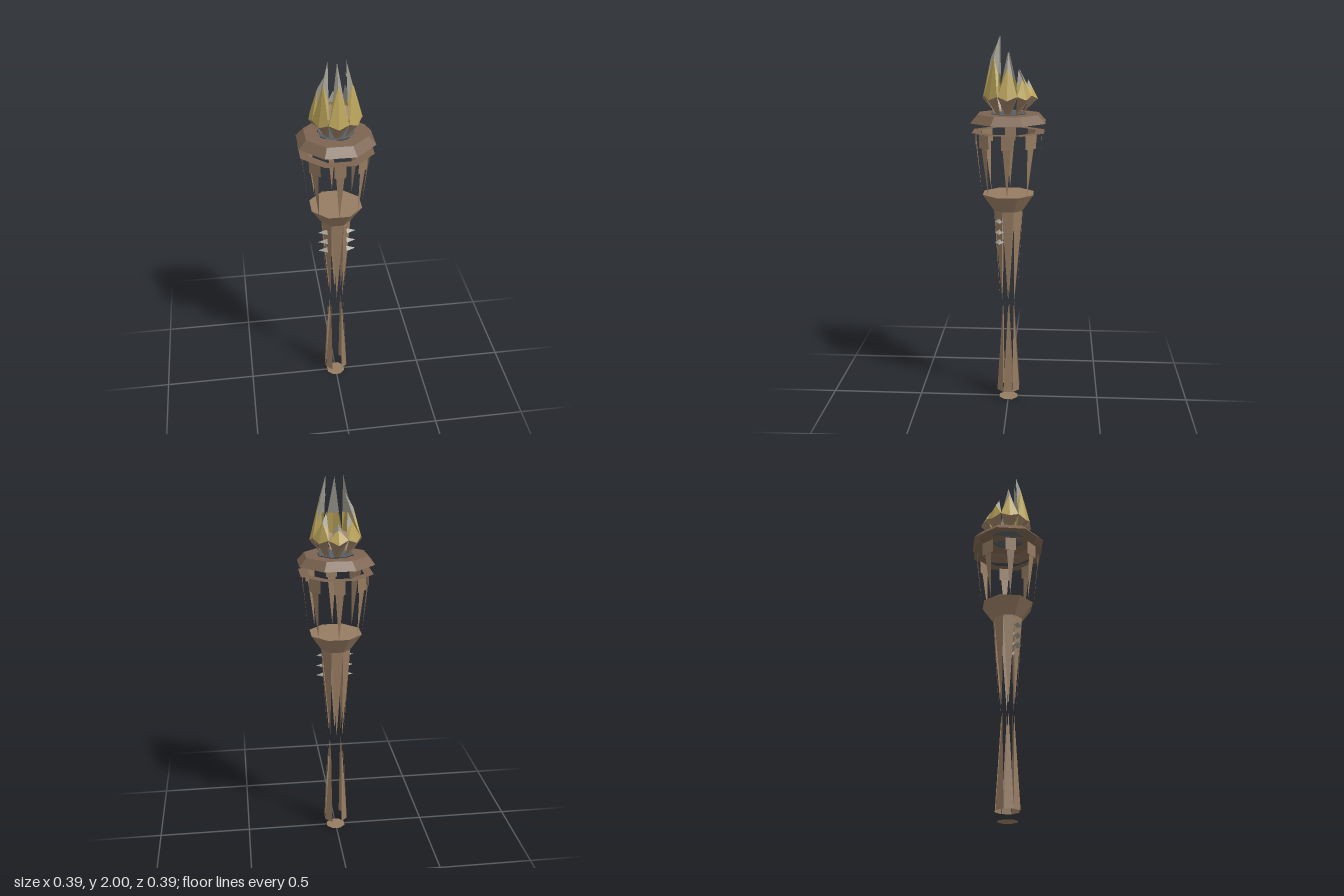
import * as THREE from 'three';

const mat = (name, color) =>
  new THREE.MeshStandardMaterial({ name, color, flatShading: true, side: THREE.DoubleSide });

export function createModel() {
  const wood = mat('light wood', 0x957b61);
  const darkWood = mat('dark wood', 0x7c6450);
  const gold = mat('gold flame', 0xbaa45a);
  const grey = mat('pale grey', 0x9f9d92);
  const slate = mat('slate', 0x565e64);

  const root = new THREE.Group();
  root.name = 'torch';
  const add = (name, geometry, material, parent = root) => {
    const mesh = new THREE.Mesh(geometry, material);
    mesh.name = name;
    parent.add(mesh);
    return mesh;
  };

  // Faceted surface from polygons; each polygon is a fan of [x, y, z] corners
  const facets = (...polygons) => {
    const pos = [];
    for (const p of polygons)
      for (let i = 1; i < p.length - 1; i++) pos.push(...p[0], ...p[i], ...p[i + 1]);
    const g = new THREE.BufferGeometry();
    g.setAttribute('position', new THREE.Float32BufferAttribute(pos, 3));
    g.computeVertexNormals();
    return g;
  };

  // Eight-sided ring with flat sides facing the axes; profile is [apothem, y]
  const octagon = (name, profile, material) =>
    add(name, new THREE.LatheGeometry(
      profile.map(([r, y]) => new THREE.Vector2(r / Math.cos(Math.PI / 8), y)), 8, Math.PI / 8), material);

  // Group turned so that its local +z points outward at the given angle
  const side = (name, k) => {
    const g = new THREE.Group();
    g.name = name;
    g.rotation.y = k * Math.PI / 4;
    root.add(g);
    return g;
  };

  // Foot, cup, collar and rim
  octagon('footCap', [[0, 0], [0.05, 0]], wood);
  octagon('cup', [[0.075, 1.09], [0.133, 1.18], [0, 1.18]], wood);
  octagon('collar', [[0.14, 1.51], [0.187, 1.51]], darkWood);
  octagon('rim', [[0.193, 1.56], [0.156, 1.603], [0.09, 1.603]], darkWood);
  octagon('emberPlate', [[0, 1.606], [0.088, 1.606]], slate);

  for (let k = 0; k < 8; k++) {
    // Handle slats taper to points at the waist
    const slat = side('handleSide', k);
    add('upperSlat', facets([[0, 0.585, 0.046], [0.031, 1.09, 0.075], [-0.031, 1.09, 0.075]]), wood, slat);
    if (k % 4 !== 0)
      add('lowerSlat', facets([[-0.025, 0.05, 0.062], [0.025, 0.05, 0.062], [0, 0.56, 0.042]]), wood, slat);

    // Cage posts: a square head above a long spike
    const post = side('cagePost', k);
    const w = k % 2 ? 0.037 : 0.029;
    add('postHead', facets([[-w, 1.435, 0.17], [w, 1.435, 0.17], [w, 1.51, 0.172], [-w, 1.51, 0.172]]), wood, post);
    add('postSpike', facets([[0, 1.18, 0.142], [0.021, 1.435, 0.168], [-0.021, 1.435, 0.168]]), wood, post);
  }

  // Flame petals, tall at the front and low at the back
  const tipHeights = [1.99, 2.0, 1.92, 1.83, 1.78];
  const tipRadii = [0.045, 0.062, 0.045, 0.075, 0.1];
  for (let k = 0; k < 8; k++) {
    const n = Math.min(k, 8 - k);
    const h = tipHeights[n], r = tipRadii[n];
    const petal = side('flamePetal', k);
    const rise = h - 1.69;
    const foot = [0, 1.68, n === 4 ? 0.152 : 0.135];
    const ridge = [0, 1.69 + rise * 0.66, r + (0.135 - r) * 0.5];
    const tip = [0, h, r];
    const base = s => [s * 0.05, 1.7, 0.122];
    const shoulder = s => [s * 0.03, 1.69 + rise * 0.36, 0.095];
    add('petalFront', facets(
      [foot, base(1), ridge], [base(-1), foot, ridge],
      [base(1), shoulder(1), ridge], [shoulder(-1), base(-1), ridge]), gold, petal);
    add('petalTip', facets(
      [ridge, shoulder(1), tip], [shoulder(-1), ridge, tip], [shoulder(1), shoulder(-1), tip]), grey, petal);
    add('flameBowl', facets(
      [[-0.014, 1.606, 0.072], [0.014, 1.606, 0.072], base(1), foot, base(-1)]), wood, petal);
  }

  // Three small studs on each side of the handle
  for (const s of [-1, 1])
    for (const y of [0.92, 0.975, 1.035]) {
      const stud = add('stud', new THREE.ConeGeometry(0.017, 0.05, 4), grey);
      stud.rotation.z = -s * Math.PI / 2;
      stud.scale.z = 1.5;
      stud.position.set(s * 0.076, y, 0.045);
    }
  return root;
}
